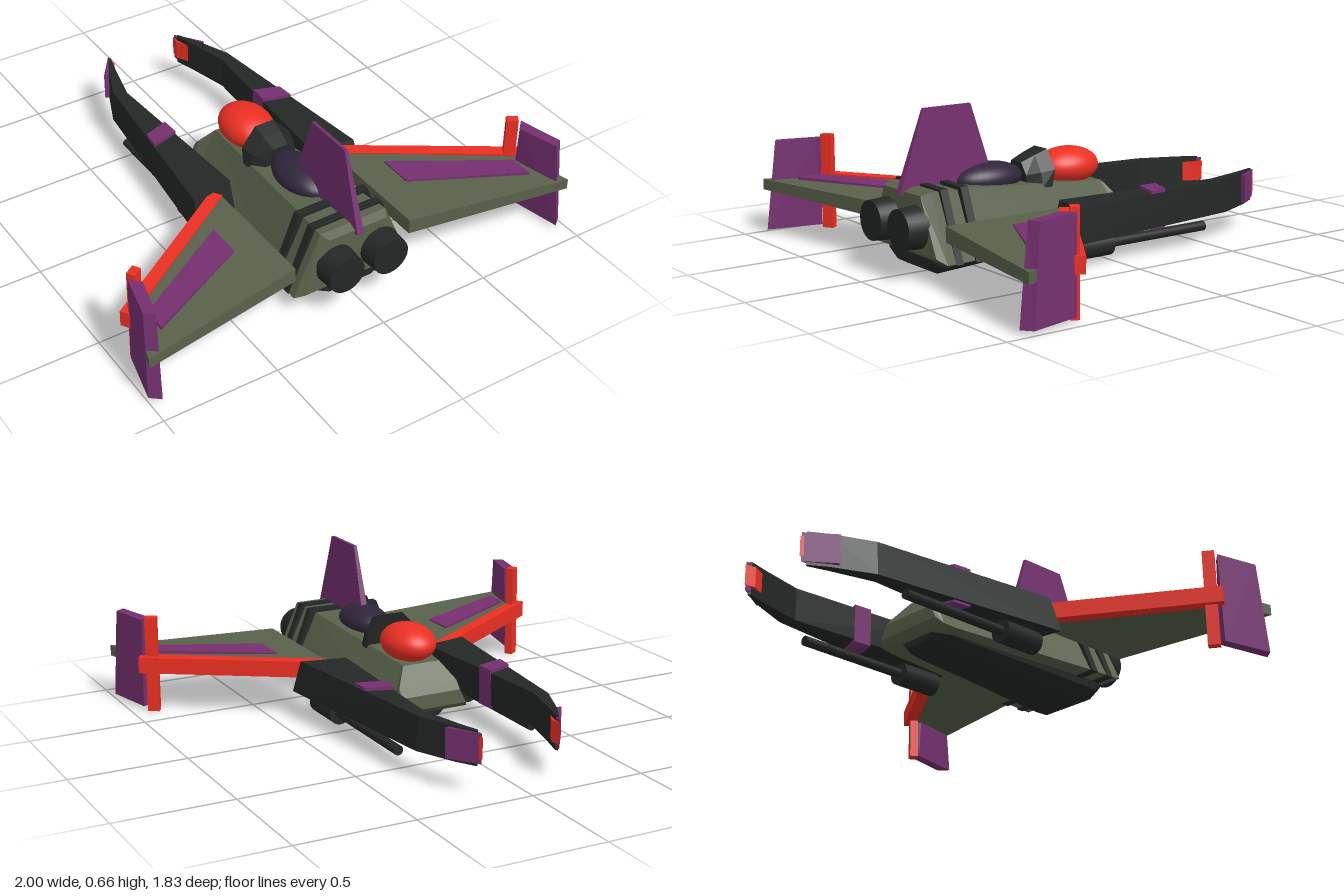
import * as THREE from 'three';

const paint = (color, flatShading = true) =>
  new THREE.MeshStandardMaterial({ color, flatShading });
const green = paint(0x59614a), red = paint(0xec2f22), purple = paint(0x753070), black = paint(0x232725);
const redSmooth = paint(0xec2f22, false), violetSmooth = paint(0x30253b, false), blackSmooth = paint(0x232725, false);

// Skins a row of cross-sections (arrays of [x, y, z]) and caps both ends.
function loft(sections) {
  const pos = [], n = sections[0].length;
  const tri = (a, b, c) => pos.push(...a, ...b, ...c);
  for (let i = 0; i < sections.length - 1; i++) {
    const a = sections[i], b = sections[i + 1];
    for (let j = 0; j < n; j++) {
      const k = (j + 1) % n;
      tri(a[j], a[k], b[k]);
      tri(a[j], b[k], b[j]);
    }
  }
  const first = sections[0], last = sections[sections.length - 1];
  for (let j = 1; j < n - 1; j++) {
    tri(first[0], first[j + 1], first[j]);
    tri(last[0], last[j], last[j + 1]);
  }
  // Turn the faces outward if the signed volume is negative
  let volume = 0;
  const v = i => new THREE.Vector3().fromArray(pos, i);
  for (let i = 0; i < pos.length; i += 9) volume += v(i).dot(v(i + 3).cross(v(i + 6)));
  if (volume < 0) {
    for (let i = 0; i < pos.length; i += 9) {
      for (let c = 0; c < 3; c++) [pos[i + 3 + c], pos[i + 6 + c]] = [pos[i + 6 + c], pos[i + 3 + c]];
    }
  }
  const g = new THREE.BufferGeometry();
  g.setAttribute('position', new THREE.Float32BufferAttribute(pos, 3));
  g.computeVertexNormals();
  return g;
}

// Upright slab from a plan outline of [x, z] points
const slab = (plan, y0, y1, topPlan = plan) =>
  loft([plan.map(([x, z]) => [x, y0, z]), topPlan.map(([x, z]) => [x, y1, z])]);

// Trapezoid section across the hull
const trapezoid = (z, bottom, top, y0, y1) =>
  [[-bottom, y0, z], [bottom, y0, z], [top, y1, z], [-top, y1, z]];

export function createModel() {
  const model = new THREE.Group();
  model.name = 'starfighter';

  const add = (name, geometry, material, parent = model) => {
    const mesh = new THREE.Mesh(geometry, material);
    mesh.name = name;
    parent.add(mesh);
    return mesh;
  };
  const rod = (name, r0, r1, z0, z1, x, y, parent) => {
    const g = new THREE.CylinderGeometry(r1, r0, z1 - z0, 24).rotateX(Math.PI / 2);
    add(name, g.translate(x, y, (z0 + z1) / 2), blackSmooth, parent);
  };
  const dome = (name, rx, ry, rz, y, z, material) => {
    const g = new THREE.SphereGeometry(1, 32, 20).scale(rx, ry, rz);
    add(name, g.translate(0, y, z), material);
  };

  // Hull with sloped nose and chamfered tail
  add('fuselage', loft([
    trapezoid(-0.21, 0.165, 0.135, 0.12, 0.18),
    trapezoid(-0.18, 0.185, 0.135, 0.095, 0.215),
    trapezoid(-0.12, 0.19, 0.085, 0.09, 0.29),
    trapezoid(0.6, 0.262, 0.14, 0.09, 0.35),
    trapezoid(0.77, 0.275, 0.155, 0.09, 0.36),
    trapezoid(0.805, 0.245, 0.135, 0.115, 0.345),
  ]), green);

  // Dark bands around the tail of the hull
  for (const z of [0.603, 0.697]) {
    add('hullBand', loft([z, z + 0.035].map(p => trapezoid(p, 0.274, 0.165, 0.085, 0.367))), black);
  }

  // Tapered belly keel
  const keelSection = (z, w, low) => [
    [-w, 0.1, z], [w, 0.1, z], [w * 0.95, low + 0.035, z],
    [w * 0.6, low, z], [-w * 0.6, low, z], [-w * 0.95, low + 0.035, z],
  ];
  add('keel', loft([
    keelSection(-0.16, 0.1, 0.065),
    keelSection(-0.08, 0.135, 0.052),
    keelSection(0.72, 0.19, 0.018),
    keelSection(0.77, 0.17, 0.045),
  ]), black);

  // Cockpit, rear dome and the fairing between them
  dome('cockpitCanopy', 0.11, 0.08, 0.145, 0.355, -0.005, redSmooth);
  dome('rearDome', 0.096, 0.066, 0.16, 0.35, 0.4, violetSmooth);
  add('canopyFairing', loft([
    [[-0.118, 0.3, 0.155], [-0.115, 0.37, 0.14], [-0.045, 0.445, 0.13],
      [0.045, 0.445, 0.13], [0.115, 0.37, 0.14], [0.118, 0.3, 0.155]],
    [[-0.115, 0.3, 0.2], [-0.1, 0.36, 0.2], [-0.042, 0.425, 0.19],
      [0.042, 0.425, 0.19], [0.1, 0.36, 0.2], [0.115, 0.3, 0.2]],
    [[-0.07, 0.3, 0.25], [-0.065, 0.35, 0.25], [-0.035, 0.4, 0.255],
      [0.035, 0.4, 0.255], [0.065, 0.35, 0.25], [0.07, 0.3, 0.25]],
  ]), black);

  // Tail fin, thinner toward the top
  const finLevel = (y, z0, z1, w) => [[-w, y, z0], [w, y, z0], [w, y, z1], [-w, y, z1]];
  add('tailFin', loft([finLevel(0.33, 0.375, 0.825, 0.016), finLevel(0.665, 0.482, 0.705, 0.007)]), purple);

  for (const s of [1, -1]) {
    const side = new THREE.Group();
    side.name = s > 0 ? 'leftSide' : 'rightSide';
    model.add(side);
    const m = plan => plan.map(([x, z]) => [s * x, z]);

    // Engine nozzle
    rod('engineNozzle', 0.092, 0.082, 0.74, 0.89, s * 0.105, 0.217, side);

    // Swept wing with a raised panel
    add('wing', loft([
      [[s * 0.275, 0.185, 0.23], [s * 0.275, 0.25, 0.23], [s * 0.275, 0.25, 0.78], [s * 0.275, 0.185, 0.78]],
      [[s * 0.935, 0.193, 0.655], [s * 0.935, 0.241, 0.655], [s, 0.24, 0.905], [s, 0.194, 0.905]],
    ]), green, side);
    add('wingPanel', slab(m([[0.42, 0.41], [0.88, 0.69], [0.885, 0.795], [0.42, 0.565]]), 0.235, 0.255),
      purple, side);

    // Leading edge strip and upright post at its end
    const sweep = -s * Math.atan2(0.44, 0.67);
    const edge = new THREE.BoxGeometry(0.8, 0.07, 0.055).rotateY(sweep);
    add('leadingEdge', edge.translate(s * 0.62, 0.217, 0.435), red, side);
    const post = new THREE.BoxGeometry(0.05, 0.42, 0.036).rotateY(sweep);
    add('wingtipPost', post.translate(s * 0.905, 0.215, 0.635), red, side);

    // Upright wingtip fin, longer at the bottom
    add('wingtipFin', slab(
      m([[0.905, 0.672], [0.945, 0.655], [0.997, 0.88], [0.955, 0.915]]), 0.022, 0.41,
      m([[0.898, 0.695], [0.94, 0.65], [0.985, 0.845], [0.945, 0.87]])), purple, side);

    // Forward prong, bending inward near its end
    const prongSection = (inner, outer, zIn, zOut, bevel, slant = 0) => [
      [s * inner, 0.12, zIn], [s * outer, 0.12, zOut],
      [s * (outer - bevel), 0.262, zOut - slant], [s * inner, 0.262, zIn - slant],
    ];
    add('prong', loft([
      prongSection(0.2, 0.412, 0.225, 0.267, 0.018, 0.045),
      prongSection(0.246, 0.305, -0.6, -0.635, 0.008),
      prongSection(0.2, 0.23, -0.79, -0.81, 0.004),
      prongSection(0.174, 0.182, -0.88, -0.89, 0.001),
    ]), black, side);
    add('prongBand', slab(m([[0.222, -0.22], [0.345, -0.185], [0.338, -0.265], [0.226, -0.305]]), 0.11, 0.276),
      purple, side);

    // Coloured plates on the prong end
    add('prongTip', slab(m([[0.225, -0.775], [0.262, -0.785], [0.174, -0.908], [0.174, -0.88]]), 0.132, 0.255),
      purple, side);
    add('prongTipInlay', slab(m([[0.198, -0.805], [0.18, -0.9], [0.172, -0.913], [0.164, -0.868]]), 0.153, 0.24),
      red, side);

    // Gun slung under the prong
    rod('gunBody', 0.05, 0.05, 0.015, 0.21, s * 0.31, 0.08, side);
    rod('gunBarrel', 0.021, 0.021, -0.5, 0.03, s * 0.31, 0.08, side);
  }
  return model;
}
